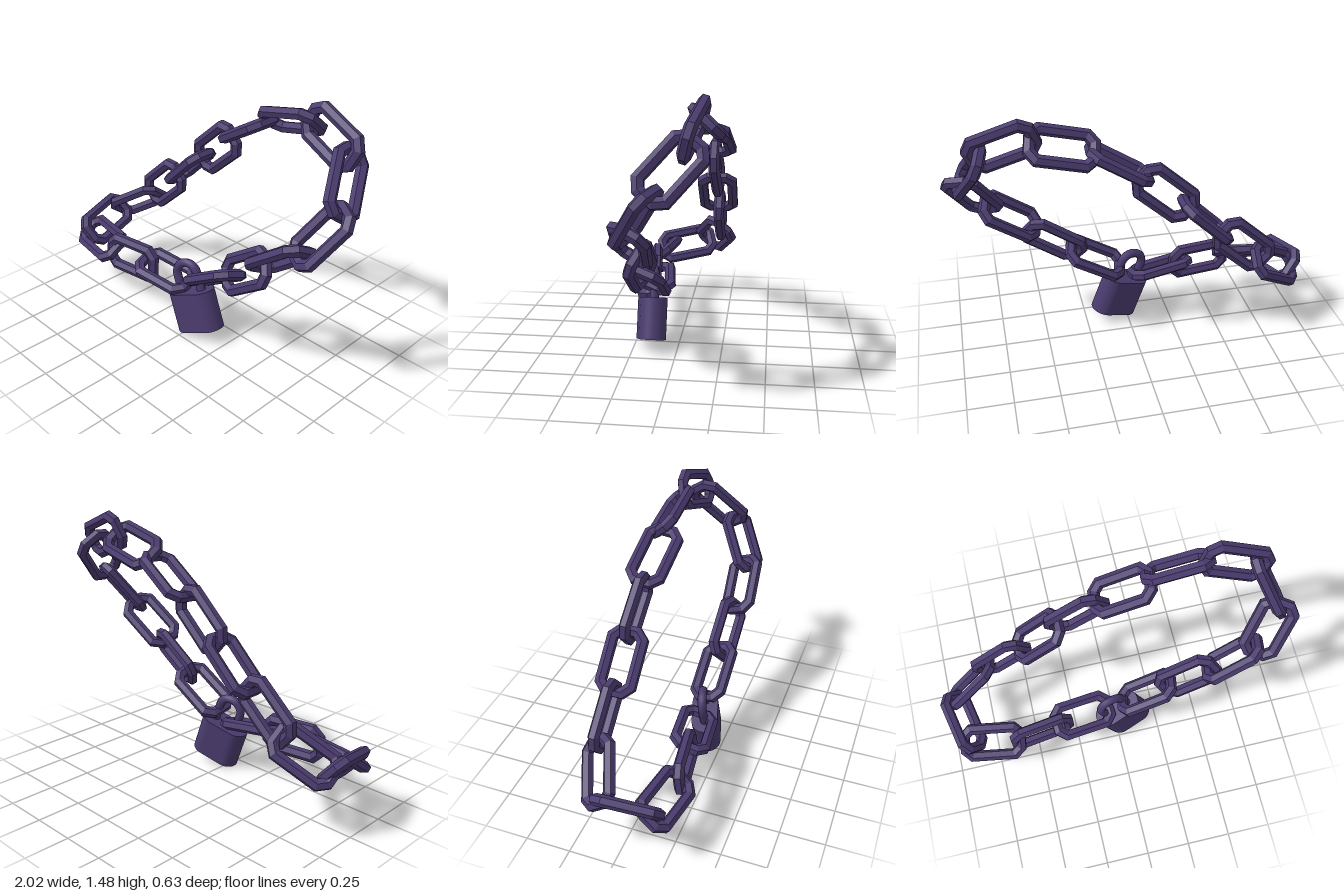
import * as THREE from 'three';

const COLOR = 0x4a3b6e;
const WIRE = 0.032; // wire radius of a link
const SIDES = 6;

// Chamfered link: an eight-cornered loop swept with a hexagonal wire, mitred at the corners.
// Long axis x, width along y.
function linkGeometry(a = 0.164, b = 0.085, c = 0.04) {
  const pos = [], index = [];
  const corners = (d) => {
    const k = (Math.SQRT2 - 1) * d;
    const X = a + d, Y = b + d, x = a - c + k, y = b - c + k;
    return [[X, -y], [X, y], [x, Y], [-x, Y], [-X, y], [-X, -y], [-x, -Y], [x, -Y]];
  };
  for (let k = 0; k < SIDES; k++) {
    const t = ((k + 0.5) / SIDES) * Math.PI * 2;
    for (const [x, y] of corners(WIRE * Math.cos(t))) pos.push(x, y, WIRE * Math.sin(t));
  }
  for (let k = 0; k < SIDES; k++) {
    for (let i = 0; i < 8; i++) {
      const k2 = (k + 1) % SIDES, i2 = (i + 1) % 8;
      const p = k * 8 + i, q = k * 8 + i2, r = k2 * 8 + i2, s = k2 * 8 + i;
      index.push(p, q, r, p, r, s);
    }
  }
  const g = new THREE.BufferGeometry();
  g.setAttribute('position', new THREE.Float32BufferAttribute(pos, 3));
  g.setIndex(index);
  g.computeVertexNormals();
  return g;
}

// Each link: centre, long axis, width direction; in order around the loop from the padlock
const LINKS = [
  { at: [0.185, 0.43, 0.145], along: [0.86, 0.5, 0], across: [-0.18, 0.31, 0.93] },
  { at: [0.42, 0.58, 0.15], along: [0.83, 0.56, 0], across: [0.5, -0.74, 0.45] },
  { at: [0.655, 0.76, 0.16], along: [0.81, 0.57, -0.08], across: [-0.26, 0.39, 0.88] },
  { at: [0.848, 0.945, 0.1], along: [0.45, 0.75, -0.45], across: [0.8, -0.25, 0.48] },
  { at: [0.853, 1.17, -0.06], along: [-0.33, 0.7, -0.64], across: [-0.27, 0.57, 0.76] },
  { at: [0.685, 1.328, -0.148], along: [0.92, -0.35, 0.16], across: [0.33, 0.87, -0.22] },
  { at: [0.393, 1.315, -0.195], along: [0.97, 0.22, 0.03], across: [-0.15, 0.66, 0.73] },
  { at: [0.105, 1.19, -0.185], along: [0.85, 0.5, 0.1], across: [0, 0, 1] },
  { at: [-0.14, 1.0, -0.195], along: [0.75, 0.65, 0.03], across: [-0.65, 0.76, 0] },
  { at: [-0.365, 0.81, -0.19], along: [0.73, 0.69, 0], across: [0, 0, 1] },
  { at: [-0.595, 0.62, -0.19], along: [0.75, 0.66, 0], across: [-0.66, 0.75, 0] },
  { at: [-0.808, 0.435, -0.145], along: [0.8, 0.5, -0.33], across: [-0.1, 0.55, 0.75] },
  { at: [-0.897, 0.34, 0.05], along: [0.2, -0.18, 0.96], across: [0.62, -0.75, -0.1] },
  { at: [-0.755, 0.315, 0.2], along: [0.98, 0, 0.16], across: [-0.1, -0.6, 0.78] },
  { at: [-0.46, 0.305, 0.2], along: [0.98, 0, -0.14], across: [0, 0.97, -0.1] },
  { at: [-0.205, 0.305, 0.16], along: [0.97, -0.1, -0.13], across: [0.1, -0.3, 0.94] },
];

function createChain() {
  const chain = new THREE.Group();
  chain.name = 'chain';
  const geometry = linkGeometry();
  const material = new THREE.MeshStandardMaterial({ color: COLOR, flatShading: true });
  LINKS.forEach(({ at, along, across }, i) => {
    const x = new THREE.Vector3(...along).normalize();
    const z = x.clone().cross(new THREE.Vector3(...across)).normalize();
    const y = z.clone().cross(x);
    const link = new THREE.Mesh(geometry, material);
    link.name = `chainLink${i + 1}`;
    link.quaternion.setFromRotationMatrix(new THREE.Matrix4().makeBasis(x, y, z));
    link.position.set(...at);
    chain.add(link);
  });
  return chain;
}

function createPadlock() {
  const lock = new THREE.Group();
  lock.name = 'padlock';
  const material = new THREE.MeshStandardMaterial({ color: COLOR });
  const W = 0.285, H = 0.235, D = 0.15, r = D / 2, s = W / 2 - r;

  // Body with rounded ends
  const outline = new THREE.Shape();
  outline.absarc(s, 0, r, -Math.PI / 2, Math.PI / 2);
  outline.absarc(-s, 0, r, Math.PI / 2, Math.PI * 1.5);
  const bodyGeometry = new THREE.ExtrudeGeometry(outline, { depth: H, bevelEnabled: false, curveSegments: 10 });
  bodyGeometry.translate(0, 0, -H / 2).rotateX(-Math.PI / 2);
  const body = new THREE.Mesh(bodyGeometry, material);
  body.name = 'padlockBody';

  // Shackle: two legs and a half circle
  const R = 0.068, path = new THREE.CurvePath();
  const top = H / 2 + 0.1, foot = H / 2 - 0.02;
  const arc = [];
  for (let i = 0; i <= 12; i++) {
    const t = (i / 12) * Math.PI;
    arc.push(new THREE.Vector3(R * Math.cos(t), top + R * Math.sin(t), 0));
  }
  path.add(new THREE.LineCurve3(new THREE.Vector3(R, foot, 0), arc[0]));
  path.add(new THREE.CatmullRomCurve3(arc));
  path.add(new THREE.LineCurve3(arc[12], new THREE.Vector3(-R, foot, 0)));
  const shackle = new THREE.Mesh(new THREE.TubeGeometry(path, 32, 0.025, 8), material);
  shackle.name = 'padlockShackle';

  lock.add(body, shackle);
  lock.rotation.set(0, 0.27, 0.35, 'ZYX');
  lock.position.set(0.046, 0.158, 0.152);
  return lock;
}

export function createModel() {
  const model = new THREE.Group();
  model.name = 'chainWithPadlock';
  model.add(createChain(), createPadlock());
  return model;
}
